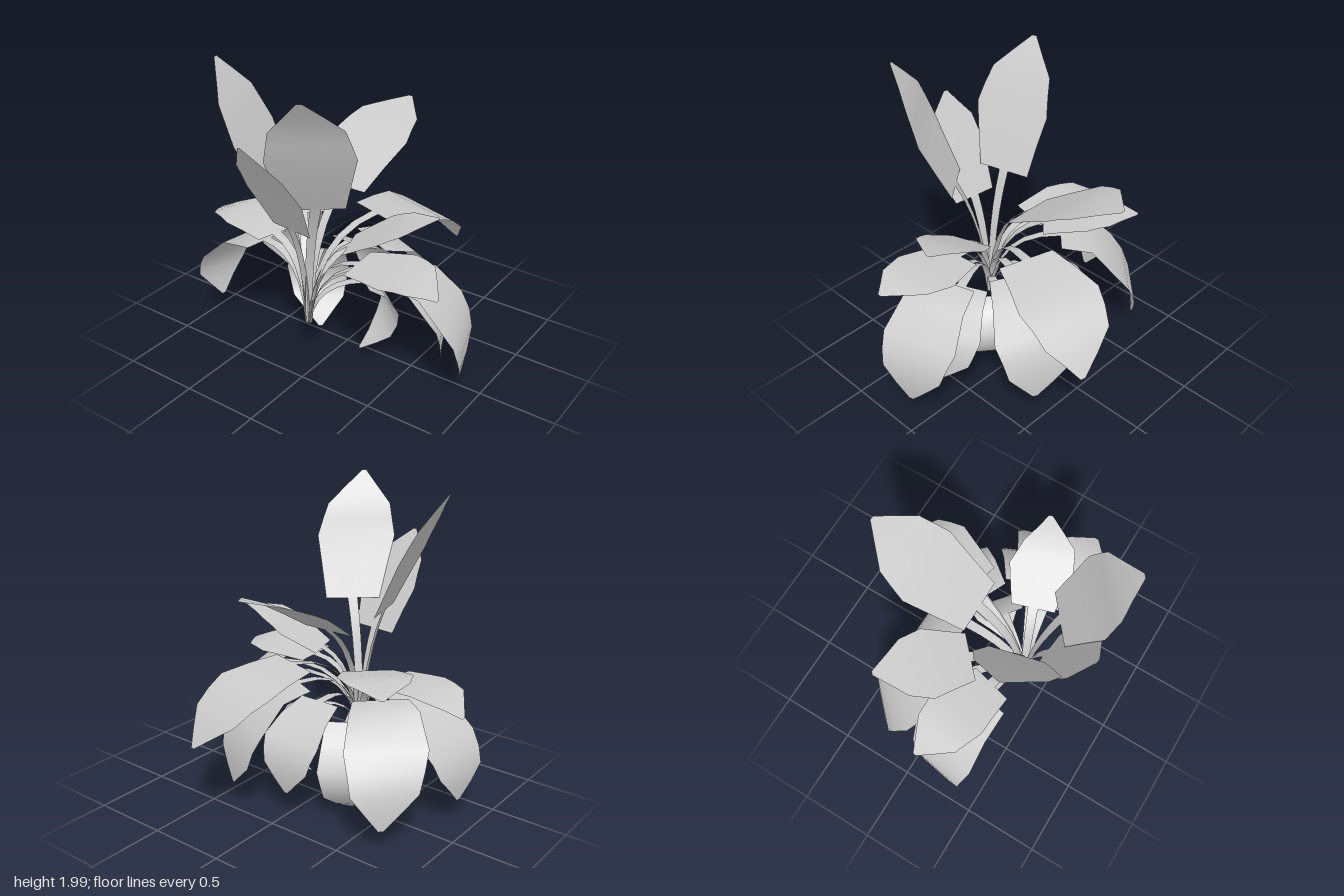
import * as THREE from 'three';

const material = new THREE.MeshStandardMaterial({ color: 0xcccccc, side: THREE.DoubleSide });
const ROOT = new THREE.Vector3(-0.355, 0.33, -0.05);

// Flat ribbon: horizontal cross-sections of varying width along a centre line
function ribbon(points, widths, side) {
  const positions = [], index = [];
  points.forEach((p, i) => {
    for (const s of [-1, 0, 1]) {
      positions.push(...p.clone().addScaledVector(side, s * widths[i] / 2).toArray());
    }
    if (i === 0) return;
    const a = (i - 1) * 3;
    for (const k of [a, a + 1]) index.push(k, k + 1, k + 3, k + 1, k + 4, k + 3);
  });
  const geometry = new THREE.BufferGeometry();
  geometry.setAttribute('position', new THREE.Float32BufferAttribute(positions, 3));
  geometry.setIndex(index);
  geometry.computeVertexNormals();
  return geometry;
}

// Blade widths at base, middle, shoulder and tip
const BLADE = [0.35, 0.51, 0.41, 0.03];

// Each leaf: centre line of the blade from base to tip, how high its stem arches,
// and how far the blade crests just past its base
const LEAVES = {
  uprightLeaf: [
    { line: [[-0.475, 1.22, 0.11], [-0.63, 1.6, 0.2], [-0.7, 1.8, 0.23], [-0.82, 2, 0.28]], arch: 0.6 },
    { line: [[-0.37, 1.22, -0.21], [-0.44, 1.58, -0.36], [-0.46, 1.8, -0.47], [-0.47, 2, -0.6]], arch: 0.6 },
    { line: [[-0.49, 1.04, -0.06], [-0.64, 1.32, -0.06], [-0.73, 1.49, -0.09], [-0.82, 1.66, -0.14]], arch: 0.65, size: 0.86 },
  ],
  spreadingLeaf: [
    { line: [[-0.01, 1.15, -0.05], [0.35, 1.37, -0.06], [0.54, 1.46, -0.05], [0.75, 1.52, -0.02]], arch: 0.75, size: 1.03 },
    { line: [[-0.26, 0.92, 0.19], [-0.19, 1.05, 0.4], [-0.165, 1.12, 0.54], [-0.08, 1.17, 0.7]], arch: 0.8, size: 0.8 },
    { line: [[-0.09, 0.92, -0.29], [0.1, 0.99, -0.48], [0.21, 1, -0.58], [0.36, 0.98, -0.71]], arch: 0.85, size: 0.9 },
    { line: [[0.14, 0.945, 0.11], [0.5, 0.88, 0.2], [0.7, 0.74, 0.26], [0.82, 0.55, 0.34]], arch: 0.95, size: 1.08 },
    { line: [[-0.28, 0.84, -0.35], [-0.2, 0.87, -0.61], [-0.16, 0.86, -0.8], [-0.1, 0.78, -0.97]], arch: 0.95, size: 0.8 },
    { line: [[-0.3, 0.84, 0.28], [-0.29, 0.87, 0.56], [-0.3, 0.87, 0.72], [-0.36, 0.82, 0.87]], arch: 0.95, size: 0.92 },
  ],
  droopingLeaf: [
    { line: [[-0.17, 0.79, 0.47], [-0.08, 0.58, 0.82], [-0.07, 0.38, 0.91], [-0.1, 0.15, 0.9]], arch: 1.1, crest: 0.06 },
    { line: [[-0.14, 0.75, 0.4], [-0.04, 0.58, 0.67], [-0.02, 0.42, 0.73], [-0.1, 0.2, 0.76]], arch: 1.1, crest: 0.05 },
    { line: [[0.07, 0.79, 0.13], [0.39, 0.58, 0.3], [0.47, 0.36, 0.33], [0.46, 0.17, 0.36]], arch: 1.1, crest: 0.06 },
    { line: [[0.08, 0.71, -0.05], [0.36, 0.53, -0.04], [0.42, 0.37, -0.04], [0.4, 0.19, -0.03]], arch: 1.1, size: 0.82, crest: 0.02 },
    { line: [[-0.05, 0.77, -0.42], [0.23, 0.6, -0.66], [0.34, 0.38, -0.73], [0.36, 0.15, -0.72]], arch: 1.1, crest: 0.08 },
    { line: [[0.05, 0.61, -0.26], [0.2, 0.35, -0.39], [0.16, 0.15, -0.36], [0.03, 0.01, -0.25]], arch: 1.2, size: 0.85, crest: 0.03 },
    { line: [[-0.28, 0.77, -0.43], [-0.2, 0.57, -0.82], [-0.2, 0.38, -0.92], [-0.22, 0.17, -0.9]], arch: 1.1, size: 0.92, crest: 0.06 },
    { line: [[-0.07, 0.57, 0.17], [0.07, 0.4, 0.28], [0.03, 0.22, 0.26], [-0.11, 0.08, 0.17]], arch: 1.2, size: 0.75, crest: 0.03 },
  ],
};

function makeLeaf(name, { line, arch, size = 1, crest = 0 }) {
  const leaf = new THREE.Group();
  leaf.name = name;
  const knots = line.map((p) => new THREE.Vector3(...p));
  const [base, , shoulder] = knots;
  const out = shoulder.clone().sub(ROOT).setY(0).normalize();
  const side = new THREE.Vector3(out.z, 0, -out.x);

  // Blade: two rows per stretch of the centre line
  const curve = new THREE.CatmullRomCurve3(knots);
  const rows = [], widths = [];
  for (let i = 0; i <= 6; i++) {
    rows.push(curve.getPoint(i / 6));
    const k = Math.min(Math.floor(i / 2), 2);
    widths.push(size * THREE.MathUtils.lerp(BLADE[k], BLADE[k + 1], i / 2 - k));
  }
  rows[1].y += crest;
  const blade = new THREE.Mesh(ribbon(rows, widths, side), material);
  blade.name = 'blade';

  // Stem: ribbon rising from the root, then arching out to the blade
  const start = ROOT.clone().addScaledVector(out, 0.008);
  const bend = start.clone().lerp(base, 0.08);
  bend.y = THREE.MathUtils.lerp(start.y, base.y, arch);
  const stemPoints = new THREE.QuadraticBezierCurve3(start, bend, base).getPoints(6);
  const stemWidths = stemPoints.map((_, i) => 0.04 + 0.025 * i / 6);
  const stem = new THREE.Mesh(ribbon(stemPoints, stemWidths, side), material);
  stem.name = 'stem';

  leaf.add(blade, stem);
  return leaf;
}

export function createModel() {
  const plant = new THREE.Group();
  plant.name = 'leafyPlant';
  for (const [name, leaves] of Object.entries(LEAVES)) {
    leaves.forEach((leaf, i) => plant.add(makeLeaf(name + (i + 1), leaf)));
  }
  return plant;
}
